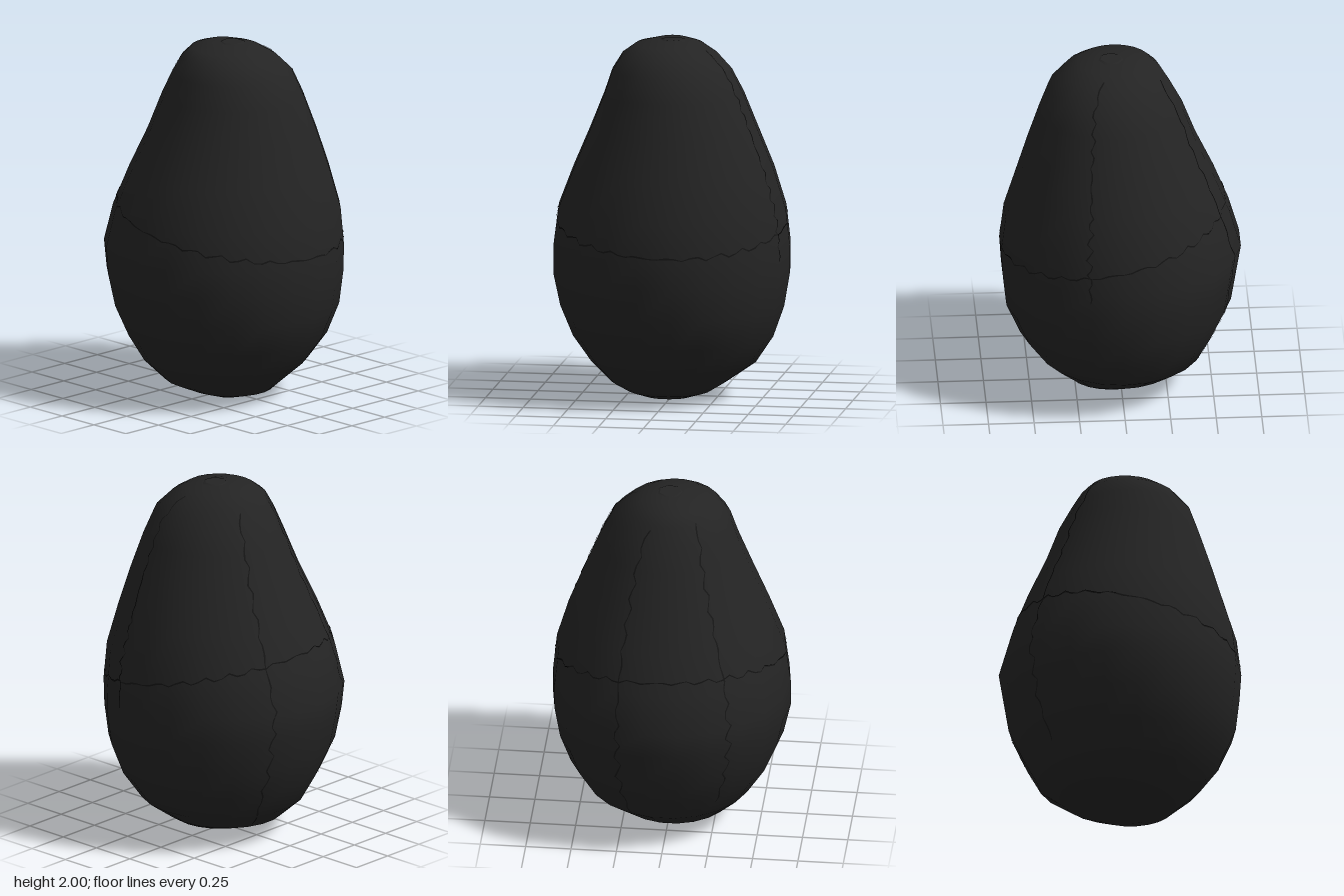
import * as THREE from 'three';

const SIDES = 22;
// Body cross-sections: height, left/right x limits, back/front z limits
const RINGS = [
  [0.01, 0.0, 0.17, -0.10, 0.13],
  [0.045, -0.18, 0.29, -0.22, 0.24],
  [0.09, -0.32, 0.34, -0.30, 0.34],
  [0.2, -0.45, 0.45, -0.46, 0.45],
  [0.35, -0.53, 0.56, -0.56, 0.55],
  [0.52, -0.61, 0.635, -0.62, 0.62],
  [0.7, -0.64, 0.655, -0.65, 0.66],
  [0.85, -0.665, 0.665, -0.65, 0.66],
  [1.06, -0.605, 0.64, -0.63, 0.63],
  [1.28, -0.52, 0.575, -0.565, 0.545],
  [1.5, -0.42, 0.51, -0.48, 0.45],
  [1.7, -0.345, 0.445, -0.40, 0.37],
  [1.83, -0.275, 0.395, -0.335, 0.325],
  [1.92, -0.22, 0.31, -0.25, 0.27],
  [1.97, -0.17, 0.23, -0.17, 0.2],
  [1.995, -0.09, 0.12, -0.08, 0.09],
];

// Vertex of ring j at side i; angle 0 faces the front
function ringPoint(j, i) {
  const [y, x0, x1, z0, z1] = RINGS[j];
  const a = (i / SIDES) * Math.PI * 2;
  return new THREE.Vector3(
    (x0 + x1) / 2 + ((x1 - x0) / 2) * Math.sin(a), y,
    (z0 + z1) / 2 + ((z1 - z0) / 2) * Math.cos(a));
}

// Point on the skin at an angle in degrees and a height
function onSkin(deg, y) {
  let j = 0;
  while (j < RINGS.length - 2 && RINGS[j + 1][0] < y) j++;
  const v = (y - RINGS[j][0]) / (RINGS[j + 1][0] - RINGS[j][0]);
  const s = (((deg % 360) + 360) % 360) / 360 * SIDES;
  const i = Math.floor(s);
  const low = ringPoint(j, i).lerp(ringPoint(j, i + 1), s - i);
  const high = ringPoint(j + 1, i).lerp(ringPoint(j + 1, i + 1), s - i);
  return low.lerp(high, v);
}

function bodyGeometry() {
  const pos = [], index = [];
  RINGS.forEach((_, j) => {
    for (let i = 0; i < SIDES; i++) pos.push(...ringPoint(j, i).toArray());
  });
  const bottom = pos.length / 3, top = bottom + 1, last = (RINGS.length - 1) * SIDES;
  pos.push(0.09, 0.003, 0.01, 0.02, 1.997, 0);
  for (let i = 0; i < SIDES; i++) {
    const n = (i + 1) % SIDES;
    for (let j = 0; j < RINGS.length - 1; j++) {
      const a = j * SIDES + i, b = j * SIDES + n;
      index.push(a, b, b + SIDES, a, b + SIDES, a + SIDES);
    }
    index.push(bottom, n, i, top, last + i, last + n);
  }
  const g = new THREE.BufferGeometry();
  g.setAttribute('position', new THREE.Float32BufferAttribute(pos, 3));
  g.setIndex(index);
  g.computeVertexNormals();
  return g;
}

// Thin ragged ribbon along a line of [degrees, height] points
function seamGeometry(points, vertical) {
  const pos = [], index = [];
  points.forEach(([deg, y], k) => {
    const w = 0.002 + 0.003 * Math.abs(Math.sin(k * 2.3));
    const p = onSkin(deg, y);
    const out = new THREE.Vector3(p.x, 0, p.z).normalize();
    const side = vertical ? new THREE.Vector3(out.z, 0, -out.x) : new THREE.Vector3(0, 1, 0);
    p.addScaledVector(out, 0.004);
    pos.push(...p.clone().addScaledVector(side, -w).toArray(), ...p.addScaledVector(side, w).toArray());
    if (k) {
      const b = k * 2;
      index.push(b - 2, b - 1, b + 1, b - 2, b + 1, b);
    }
  });
  const g = new THREE.BufferGeometry();
  g.setAttribute('position', new THREE.Float32BufferAttribute(pos, 3));
  g.setIndex(index);
  g.computeVertexNormals();
  return g;
}

export function createModel() {
  const group = new THREE.Group();
  group.name = 'avocado';
  const skin = new THREE.MeshStandardMaterial({ color: 0x242424 });
  skin.name = 'dark skin';
  const crease = new THREE.MeshStandardMaterial({ color: 0x161616, side: THREE.DoubleSide });
  crease.name = 'crease';
  const add = (name, geometry, material) => {
    const mesh = new THREE.Mesh(geometry, material);
    mesh.name = name;
    group.add(mesh);
    return mesh;
  };

  add('body', bodyGeometry(), skin);

  // Flat scar where the stem was
  const scar = add('stemScar', new THREE.CylinderGeometry(0.06, 0.075, 0.008, 7), skin);
  scar.position.set(0.05, 1.996, -0.01);

  // Ragged creases running up the skin
  const jag = (k) => 1.2 * Math.sin(k * 1.9) + 0.8 * Math.sin(k * 4.1);
  for (const [name, deg, from, to] of [
    ['backCrease', 163, 0.8, 1.95],
    ['frontRightCrease', -56, 0.3, 1.93],
    ['rightCrease', -112, 0.12, 1.9],
  ]) {
    const line = Array.from({ length: 41 }, (_, k) => [deg + jag(k), from + (to - from) * k / 40]);
    add(name, seamGeometry(line, true), crease);
  }

  // Crease around the middle, higher on the right side
  const ring = Array.from({ length: 91 }, (_, k) => {
    const a = k * 4;
    return [a, 1.01 - 0.13 * Math.sin((a - 10) * Math.PI / 180) + 0.008 * jag(k % 90)];
  });
  add('middleCrease', seamGeometry(ring, false), crease);

  return group;
}
